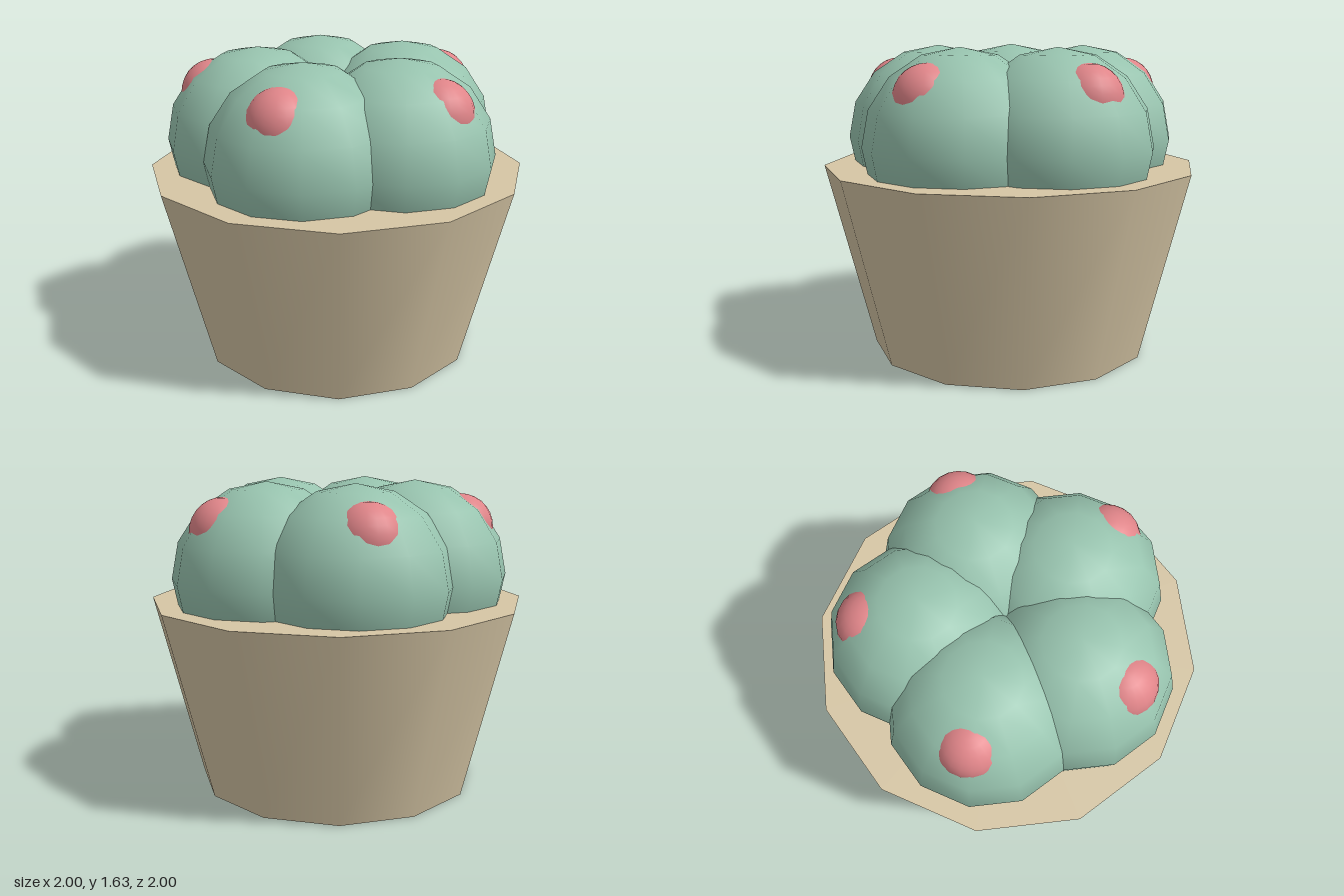
import * as THREE from 'three';

export function createModel() {
  const group = new THREE.Group();
  const mat = (name, color) => {
    const m = new THREE.MeshStandardMaterial({ color });
    m.name = name;
    return m;
  };
  const clay = mat('clay', 0xd6c6a5);
  const green = mat('cactusGreen', 0x98c4af);
  const pink = mat('flowerPink', 0xe08589);

  const add = (name, geometry, material, x, y, z) => {
    const mesh = new THREE.Mesh(geometry, material);
    mesh.name = name;
    mesh.position.set(x, y, z);
    group.add(mesh);
  };

  // Tapered twelve-sided pot, closed at the top as soil level
  add('pot', new THREE.CylinderGeometry(1, 0.75, 1, 12), clay, 0, 0.5, 0);

  // Ring of five overlapping cactus lobes, each with a flower on its outer shoulder
  const ring = 0.415, lobeY = 1.134, sink = 0.347, tilt = THREE.MathUtils.degToRad(46.5);
  const lobe = new THREE.SphereGeometry(0.498, 12, 8);
  const flower = new THREE.SphereGeometry(0.176, 20, 14);
  for (let i = 0; i < 5; i++) {
    const a = (i / 5) * Math.PI * 2;
    const c = Math.cos(a), s = Math.sin(a);
    const r = ring + sink * Math.cos(tilt);
    add(`cactusLobe${i + 1}`, lobe, green, c * ring, lobeY, s * ring);
    add(`flower${i + 1}`, flower, pink, c * r, lobeY + sink * Math.sin(tilt), s * r);
  }
  return group;
}
